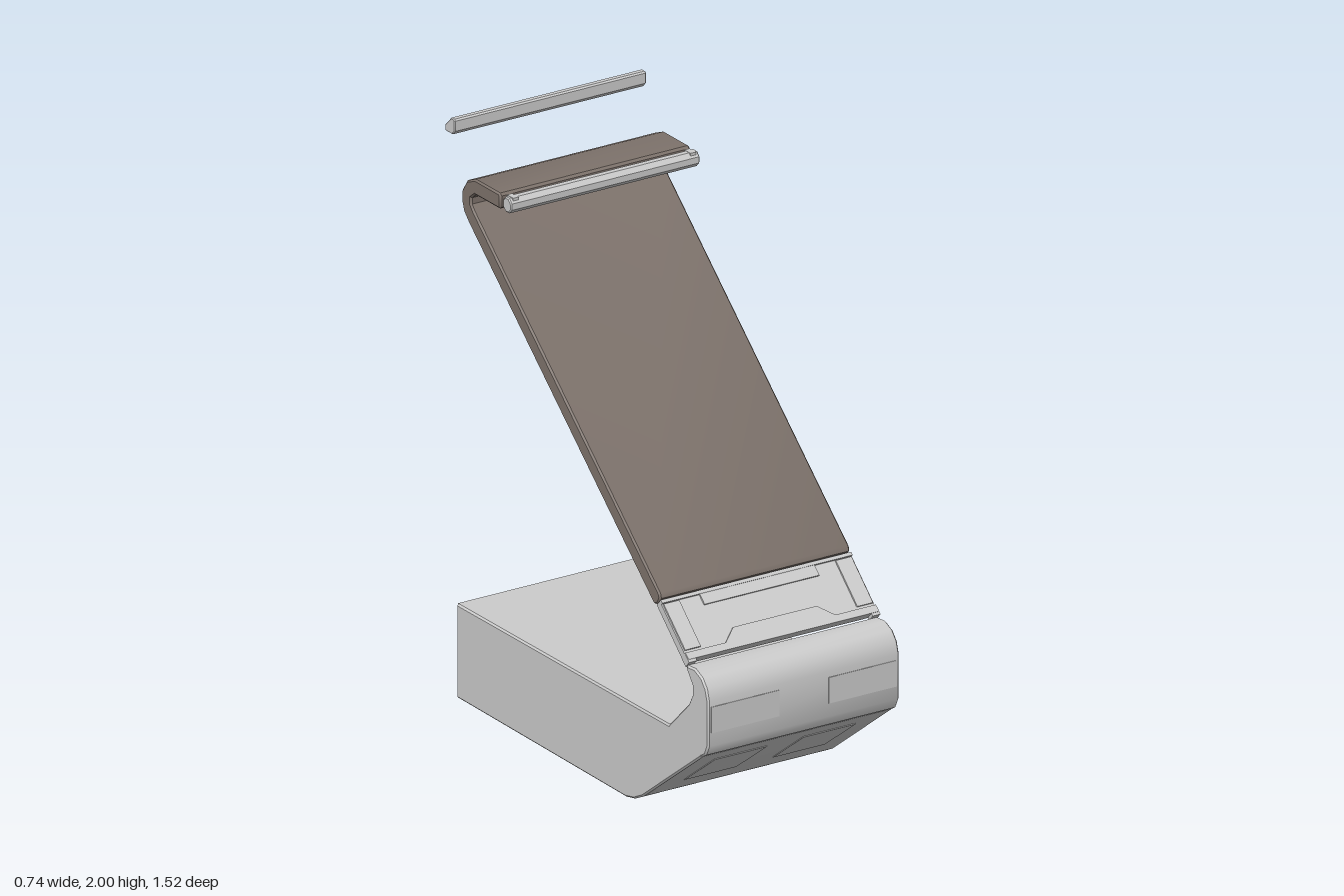
import * as THREE from 'three';
import { toCreasedNormals } from 'three/addons/utils/BufferGeometryUtils.js';

const grey = new THREE.MeshStandardMaterial({ color: 0xcccccc });
const brown = new THREE.MeshStandardMaterial({ color: 0x7e736c });

function add(parent, name, geometry, material = grey) {
  const mesh = new THREE.Mesh(geometry, material);
  mesh.name = name;
  parent.add(mesh);
  return mesh;
}

// Extrudes a side profile of [z, y] points across the width, with a small edge bevel
function across(points, width, bevel = 0.006) {
  const shape = new THREE.Shape(points.map(([z, y]) => new THREE.Vector2(z, y)));
  const geometry = new THREE.ExtrudeGeometry(shape, {
    depth: width - 2 * bevel, bevelEnabled: bevel > 0, bevelSize: bevel,
    bevelThickness: bevel, bevelOffset: -bevel, bevelSegments: 1,
  });
  geometry.translate(0, 0, bevel - width / 2);
  geometry.rotateY(-Math.PI / 2);
  return toCreasedNormals(geometry, 0.6);
}

// Frame whose local y runs up the sloping panel and local z points out of it
function slope(name, parent, y, z, angle) {
  const group = new THREE.Group();
  group.name = name;
  group.position.set(0, y, z);
  group.rotation.x = angle;
  parent.add(group);
  return group;
}

function box(parent, name, w, h, d, x, y, z) {
  const mesh = add(parent, name, new THREE.BoxGeometry(w, h, d));
  mesh.position.set(x, y, z);
}

export function createModel() {
  const model = new THREE.Group();

  // Deep base box with an undercut nose
  add(model, 'base', across([
    [-0.69, 0.01], [0.28, 0], [0.33, 0.01], [0.38, 0.035], [0.72, 0.288],
    [0.66, 0.46], [0.53, 0.335], [-0.69, 0.335],
  ], 0.735));

  // Rounded nose leading up to the hinge panel
  add(model, 'nose', across([
    [0.71, 0.283], [0.74, 0.3], [0.757, 0.335], [0.757, 0.49], [0.745, 0.53],
    [0.72, 0.56], [0.68, 0.578], [0.635, 0.575], [0.628, 0.565],
    [0.665, 0.515], [0.665, 0.485], [0.64, 0.44], [0.6, 0.4], [0.65, 0.32],
  ], 0.735));

  // Paired panels on the nose and on the slope below it
  const underside = slope('undersidePanels', model, 0.165, 0.552, 0.935);
  for (const side of [-1, 1]) {
    box(model, 'nosePanel', 0.26, 0.09, 0.004, side * 0.225, 0.425, 0.757);
    box(underside, 'lowerPanel', 0.2, 0.22, 0.004, side * 0.17, 0.01, 0.002);
  }

  // Hinge panel with shallow raised borders
  const hinge = slope('hingePanel', model, 0.66, 0.55, -0.818);
  box(hinge, 'panelPlate', 0.73, 0.22, 0.026, 0, 0, -0.004);
  box(hinge, 'topStrip', 0.44, 0.04, 0.008, 0, 0.08, 0.011);
  box(hinge, 'topEdge', 0.73, 0.012, 0.01, 0, 0.104, 0.012);
  for (const side of [-1, 1]) {
    box(hinge, 'sidePad', 0.06, 0.17, 0.008, side * 0.33, 0.01, 0.011);
    box(hinge, 'hingeFoot', 0.03, 0.03, 0.03, side * 0.352, -0.105, 0);
  }
  const tab = new THREE.Shape([
    [-0.365, -0.11], [0.365, -0.11], [0.365, -0.085], [0.21, -0.085], [0.16, -0.04],
    [-0.16, -0.04], [-0.21, -0.085], [-0.365, -0.085],
  ].map(([x, y]) => new THREE.Vector2(x, y)));
  const tabGeometry = new THREE.ExtrudeGeometry(tab, { depth: 0.009, bevelEnabled: false });
  tabGeometry.translate(0, 0, 0.008);
  add(hinge, 'lowerTab', tabGeometry);

  // Long sloping sheet that curls forward at the top
  add(model, 'slopingSheet', across([
    [0.44, 0.72], [0.462, 0.725], [0.477, 0.75], [0.472, 0.766],
    [-0.595, 1.718], [-0.612, 1.738], [-0.612, 1.76], [-0.59, 1.778],
    [-0.45, 1.778], [-0.442, 1.786], [-0.442, 1.824], [-0.45, 1.832],
    [-0.59, 1.832], [-0.637, 1.812], [-0.664, 1.772], [-0.666, 1.735],
    [-0.654, 1.7], [-0.626, 1.67],
  ], 0.73), brown);

  // Slim octagonal bar in front of the curl, with end clips
  const octagon = Array.from({ length: 8 }, (_, i) => {
    const a = (i + 0.5) * Math.PI / 4;
    return [-0.408 + 0.026 * Math.cos(a), 1.805 + 0.028 * Math.sin(a)];
  });
  add(model, 'frontBar', across(octagon, 0.725, 0.004));
  for (const side of [-1, 1]) {
    box(model, 'barClip', 0.02, 0.03, 0.036, side * 0.34, 1.817, -0.408);
  }

  // Separate wedge-shaped bar above the rear
  add(model, 'rearBar', across([
    [-0.757, 1.945], [-0.715, 1.945], [-0.7, 1.96], [-0.7, 1.995],
    [-0.706, 2], [-0.722, 2], [-0.757, 1.965],
  ], 0.735, 0.003));

  return model;
}
